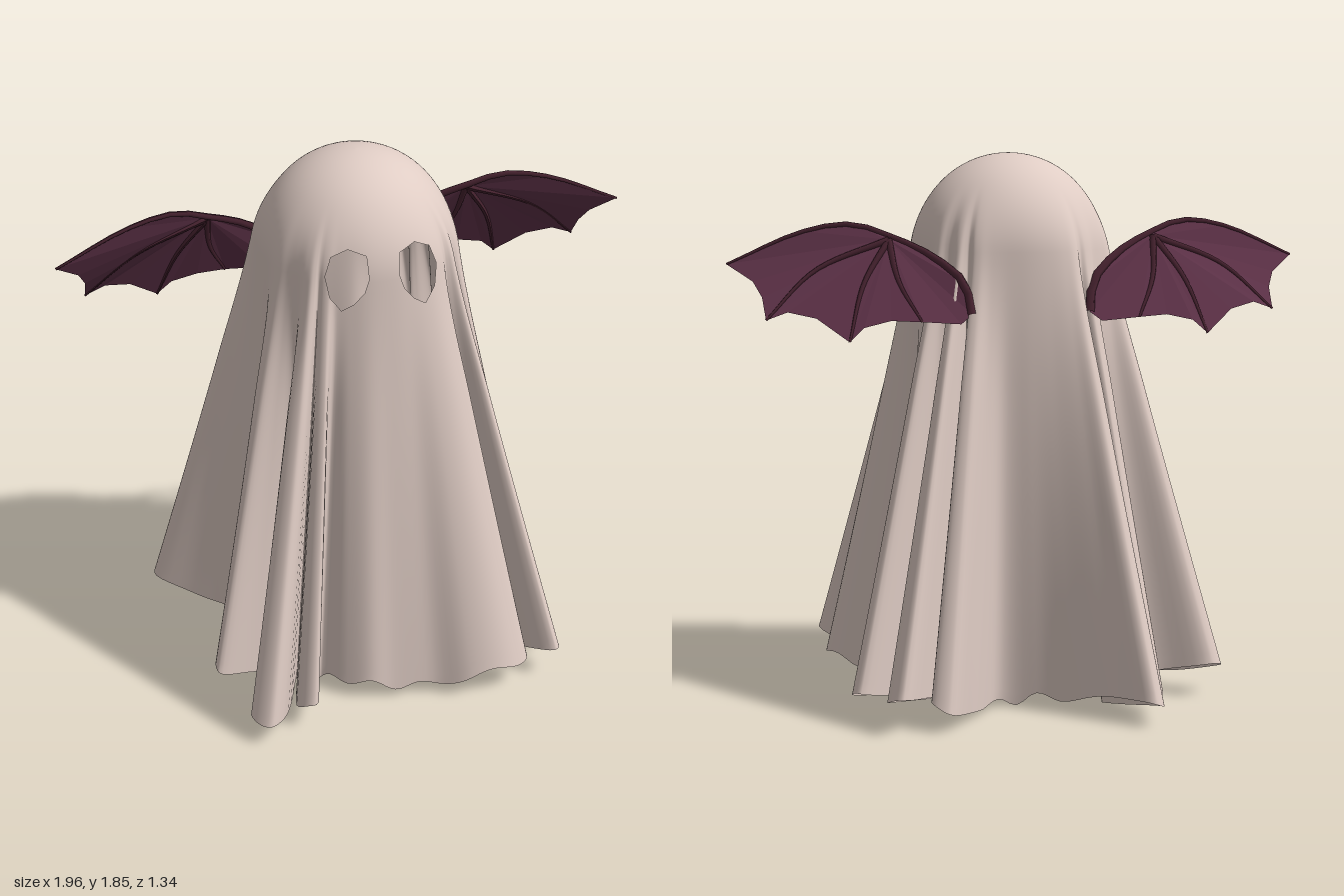
import * as THREE from 'three';

const cloth = new THREE.MeshStandardMaterial({ color: 0xdfccc4, side: THREE.DoubleSide });
cloth.name = 'cloth';
const membrane = new THREE.MeshStandardMaterial({ color: 0x5e3248, side: THREE.DoubleSide });
membrane.name = 'wing membrane';
const bone = new THREE.MeshStandardMaterial({ color: 0x46222f });
bone.name = 'wing bone';

// Hem outline seen from above (x, z), from the front towards the left side
const HEM = [
  [0, .52], [.13, .54], [.25, .6], [.4, .6], [.47, .55], [.36, .43], [.32, .37],
  [.42, .44], [.565, .575], [.59, .54], [.45, .37], [.37, .27], [.46, .32],
  [.57, .43], [.59, .36], [.51, .16], [.42, .06], [.35, 0], [.41, -.08], [.39, -.17], [.46, -.24],
  [.62, -.33], [.6, -.39], [.42, -.3], [.34, -.27], [.43, -.37], [.535, -.5], [.495, -.58],
  [.36, -.43], [.27, -.32], [.31, -.41], [.395, -.53], [.34, -.57], [.22, -.42], [.12, -.31],
  [0, -.36], [-.1, -.45], [-.22, -.57], [-.32, -.67], [-.36, -.64], [-.28, -.46],
  [-.23, -.35], [-.36, -.54], [-.4, -.5], [-.31, -.27], [-.45, -.27], [-.62, -.35],
  [-.67, -.31], [-.55, -.2], [-.43, -.08], [-.41, .04], [-.36, .15], [-.57, .27],
  [-.58, .34], [-.45, .31], [-.32, .28], [-.53, .59], [-.48, .665], [-.42, .62],
  [-.31, .36], [-.36, .58], [-.31, .62], [-.235, .385], [-.17, .46], [-.09, .51],
];

// Eye hole, convex, in the front plane (x, y); mirrored for the other eye
const EYE = [
  [.055, 1.615], [.051, 1.54], [.066, 1.495], [.1, 1.455], [.138, 1.432],
  [.174, 1.48], [.185, 1.55], [.163, 1.61], [.11, 1.635],
];

// Splits a polygon by a line a-b and returns the parts [left, right]
function split(poly, a, b) {
  const side = p => (b[0] - a[0]) * (p[1] - a[1]) - (b[1] - a[1]) * (p[0] - a[0]);
  const left = [], right = [];
  poly.forEach((p, i) => {
    const q = poly[(i + 1) % poly.length], dp = side(p), dq = side(q);
    (dp >= 0 ? left : right).push(p);
    if ((dp >= 0) !== (dq >= 0)) {
      const m = p.map((v, k) => v + (q[k] - v) * dp / (dp - dq));
      left.push(m);
      right.push(m);
    }
  });
  return [left, right];
}

// Cuts a convex counterclockwise hole out of every polygon
function cutHole(polys, hole) {
  const kept = [];
  for (const poly of polys) {
    let inside = poly;
    for (let i = 0; i < hole.length && inside.length > 2; i++) {
      const [l, r] = split(inside, hole[i], hole[(i + 1) % hole.length]);
      if (r.length > 2) kept.push(r);
      inside = l;
    }
  }
  return kept;
}

function sheetGeometry() {
  const cols = HEM.length * 6, domeRows = 22, skirtRows = 40;
  const rows = domeRows + skirtRows;
  const R = .32, cy = 1.53, cz = .03, foldTop = 1.75;
  const curve = new THREE.CatmullRomCurve3(HEM.map(([x, z]) => new THREE.Vector3(x, 0, z)), true);
  const hem = [...Array(cols)].map((_, j) => curve.getPoint(j / cols));

  // Unwrapped hem angles, smoothed so the folds melt into the round head
  let ang = [];
  hem.forEach((p, j) => {
    let a = Math.atan2(p.z - cz, p.x);
    if (j) a -= 2 * Math.PI * Math.round((a - ang[j - 1]) / (2 * Math.PI));
    ang.push(a);
    p.y = .035 + .18 * Math.max(0, Math.hypot(p.x, p.z) - .42)
      + .018 * Math.sin(7 * a + 1) + .014 * Math.sin(19 * a);
  });
  const wrap = j => ang[(j + cols) % cols] - 2 * Math.PI * Math.floor(j / cols);
  for (let pass = 0; pass < 2; pass++) {
    ang = ang.map((_, j) => {
      let sum = 0;
      for (let k = -9; k <= 9; k++) sum += wrap(j + k);
      return sum / 19;
    });
  }
  // Softer outline that the upper folds follow
  const soft = hem.map((_, j) => {
    const sum = new THREE.Vector3();
    for (let k = -8; k <= 8; k++) sum.add(hem[(j + k + cols) % cols]);
    return sum.divideScalar(17);
  });

  // Round head, with folds that grow gradually down to the hem
  const pos = [], idx = [];
  for (let i = 0; i <= rows; i++) {
    const phi = Math.PI / 2 * Math.min(1, i / domeRows), s = Math.max(0, (i - domeRows) / skirtRows);
    for (let j = 0; j < cols; j++) {
      const p = hem[j], r = R * Math.sin(phi), c = Math.cos(ang[j]), n = Math.sin(ang[j]);
      const y = THREE.MathUtils.lerp(cy + R * Math.cos(phi), p.y, s);
      const t = Math.max(0, (foldTop - y) / (foldTop - p.y));
      const f = 1.13 * t * t / (t + .13), detail = THREE.MathUtils.smoothstep(t, 0, .42);
      const q = soft[j].clone().lerp(p, detail);
      pos.push(r * c + (q.x - R * c) * f, y, cz + r * n + (q.z - cz - R * n) * f);
      if (i < rows) {
        const a = i * cols + j, b = i * cols + (j + 1) % cols;
        if (i) idx.push(a, a + cols, b);
        idx.push(b, a + cols, b + cols);
      }
    }
  }
  const grid = new THREE.BufferGeometry();
  grid.setAttribute('position', new THREE.Float32BufferAttribute(pos, 3));
  grid.setIndex(idx);
  grid.computeVertexNormals();

  // Cut the eye holes through the front
  const nor = grid.attributes.normal.array;
  const holes = [EYE, EYE.map(([x, y]) => [-x, y]).reverse()];
  const outP = [], outN = [];
  for (let t = 0; t < idx.length; t += 3) {
    const tri = [0, 1, 2].map(k => {
      const v = idx[t + k] * 3;
      return [pos[v], pos[v + 1], pos[v + 2], nor[v], nor[v + 1], nor[v + 2]];
    });
    let polys = [tri];
    if (tri.every(v => v[2] > .1 && v[1] > 1.3 && v[1] < 1.75 && Math.abs(v[0]) < .28)) {
      for (const hole of holes) polys = cutHole(polys, hole);
    }
    for (const poly of polys) {
      for (let k = 1; k < poly.length - 1; k++) {
        for (const v of [poly[0], poly[k], poly[k + 1]]) {
          outP.push(v[0], v[1], v[2]);
          outN.push(v[3], v[4], v[5]);
        }
      }
    }
  }
  const g = new THREE.BufferGeometry();
  g.setAttribute('position', new THREE.Float32BufferAttribute(outP, 3));
  g.setAttribute('normal', new THREE.Float32BufferAttribute(outN, 3));
  return g;
}

// Tapered tube through a few points
function boneMesh(points, r0, r1, name) {
  const curve = new THREE.CatmullRomCurve3(points), n = 14, sides = 6;
  const g = new THREE.TubeGeometry(curve, n, 1, sides);
  const p = g.attributes.position, v = new THREE.Vector3();
  for (let i = 0; i < p.count; i++) {
    const t = Math.floor(i / (sides + 1)) / n, c = curve.getPointAt(t);
    v.fromBufferAttribute(p, i).sub(c).multiplyScalar(r0 + (r1 - r0) * t).add(c);
    p.setXYZ(i, v.x, v.y, v.z);
  }
  g.computeVertexNormals();
  const m = new THREE.Mesh(g, bone);
  m.name = name;
  return m;
}

function wing(s, name) {
  const V = (x, y, z) => new THREE.Vector3(s * x, y, z);
  const wrist = V(.455, 1.572, -.17);
  const leading = [V(.2, 1.33, -.29), V(.22, 1.43, -.26), V(.32, 1.52, -.205), V(.455, 1.585, -.155),
    V(.57, 1.622, -.13), V(.73, 1.6, -.11), V(.98, 1.495, -.09)];
  // Scalloped rear edge between the finger tips
  const rear = [V(.9, 1.44, -.135), V(.875, 1.39, -.17), V(.87, 1.32, -.22),
    V(.8, 1.345, -.225), V(.71, 1.325, -.25), V(.61, 1.25, -.3),
    V(.56, 1.295, -.29), V(.47, 1.315, -.285), V(.37, 1.31, -.3), V(.24, 1.3, -.3)];
  const rim = [...leading, ...rear], pts = [];
  rim.forEach((p, i) => pts.push(wrist, p, rim[(i + 1) % rim.length]));
  const g = new THREE.BufferGeometry().setFromPoints(pts);
  g.computeVertexNormals();
  const skin = new THREE.Mesh(g, membrane);
  skin.name = 'wingMembrane';

  const group = new THREE.Group();
  group.name = name;
  group.add(skin, boneMesh(leading, .016, .004, 'wingArm'));
  const tips = [[V(.7, 1.475, -.17), rear[2]], [V(.55, 1.43, -.225), rear[5]], [V(.435, 1.44, -.235), rear[8]]];
  for (const [mid, tip] of tips) group.add(boneMesh([wrist, mid, tip], .012, .004, 'wingFinger'));
  return group;
}

export function createModel() {
  const model = new THREE.Group();
  model.name = 'wingedGhost';
  const sheet = new THREE.Mesh(sheetGeometry(), cloth);
  sheet.name = 'sheet';
  model.add(sheet, wing(1, 'leftWing'), wing(-1, 'rightWing'));
  return model;
}
